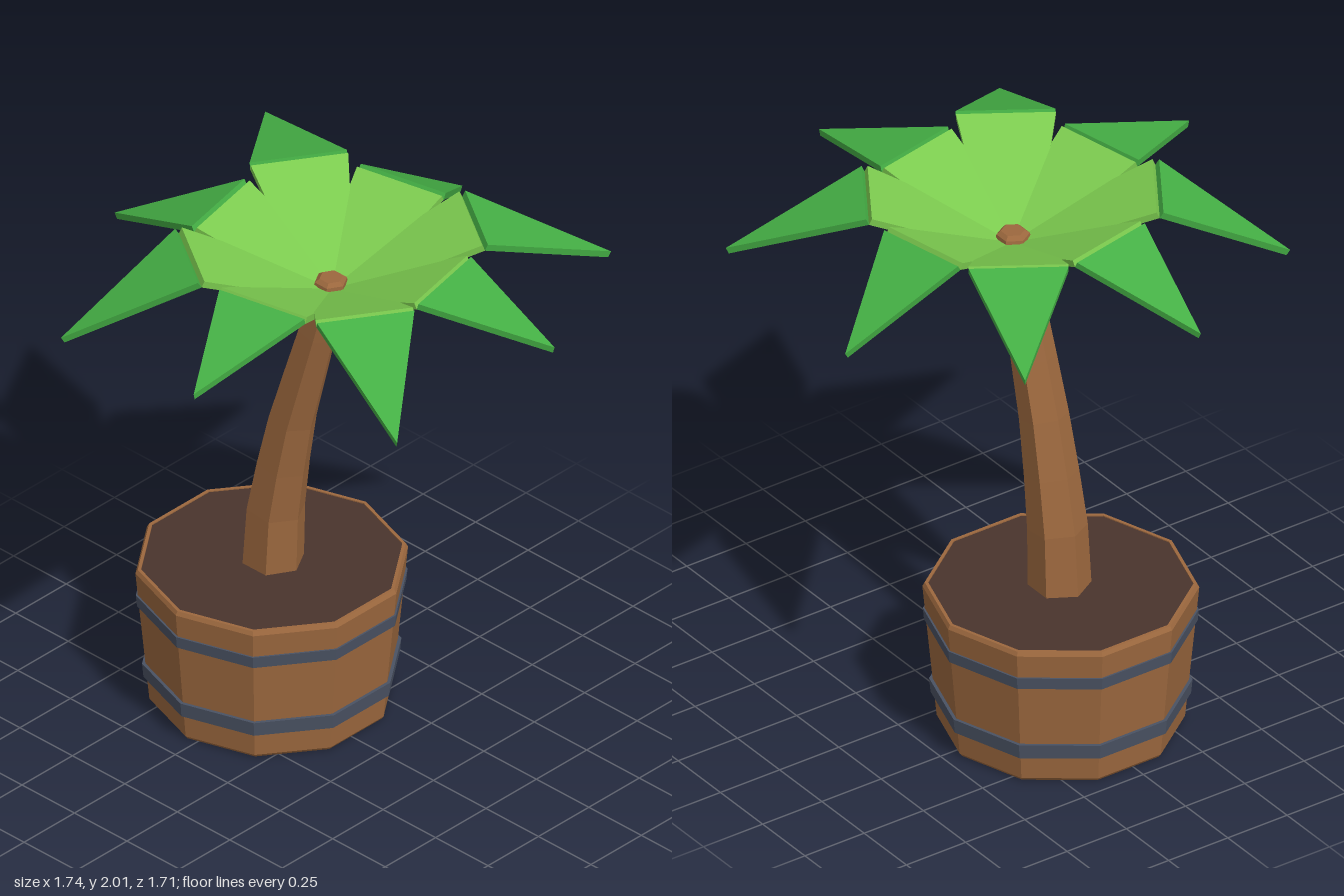
import * as THREE from 'three';

const material = (name, color) => {
  const m = new THREE.MeshStandardMaterial({ color });
  m.name = name;
  return m;
};

// Split the faces so every facet gets its own flat normal
const faceted = (geometry) => {
  const g = geometry.index ? geometry.toNonIndexed() : geometry;
  g.computeVertexNormals();
  return g;
};

const lathe = (points) =>
  faceted(new THREE.LatheGeometry(points.map(([x, y]) => new THREE.Vector2(x, y)), 10));

// Flat slab: outline in (outward, across), thickness upwards, tilted and set on its hinge
const THICK = 0.025;
function slab(outline, tilt, r, y, angle) {
  const shape = new THREE.Shape(outline.map(([x, z]) => new THREE.Vector2(x, z)));
  const g = new THREE.ExtrudeGeometry(shape, { depth: THICK, bevelEnabled: false });
  g.rotateX(-Math.PI / 2).rotateZ(tilt).translate(r, y, 0).rotateY(-angle);
  return g;
}

// Bent trunk: each ring of a six-sided cylinder is moved to a station [x, y, radius]
function trunkGeometry() {
  const stations = [
    [-0.285, 0.5, 0.111], [-0.27, 0.77, 0.105], [-0.235, 0.97, 0.096], [-0.19, 1.18, 0.087],
    [-0.13, 1.385, 0.08], [-0.07, 1.59, 0.072], [-0.01, 1.8, 0.062], [-0.008, 1.825, 0.058],
    [-0.006, 1.838, 0.042],
  ];
  const rows = stations.length - 1;
  const g = new THREE.CylinderGeometry(1, 1, 1, 6, rows, false, Math.PI / 2);
  const p = g.attributes.position;
  for (let i = 0; i < p.count; i++) {
    const k = Math.round((p.getY(i) + 0.5) * rows);
    const [x, y, r] = stations[k];
    const a = stations[Math.max(k - 1, 0)];
    const b = stations[Math.min(k + 1, rows)];
    // Rings follow the bend, the bud on top stays level
    const lean = k > 5 ? 0 : Math.atan2(b[0] - a[0], b[1] - a[1]);
    const u = p.getX(i) * r;
    p.setXYZ(i, x + u * Math.cos(lean), y - u * Math.sin(lean), p.getZ(i) * r);
  }
  return faceted(g);
}

export function createModel() {
  const wood = material('wood', 0x9c683e);
  const soil = material('soil', 0x4a342d);
  const iron = material('iron', 0x4a5263);
  const lightLeaf = material('light leaf', 0x7ccb4f);
  const leaf = material('leaf', 0x45b045);

  const model = new THREE.Group();
  model.name = 'pottedPalm';
  const add = (parent, name, geometry, mat) => {
    const mesh = new THREE.Mesh(geometry, mat);
    mesh.name = name;
    parent.add(mesh);
    return mesh;
  };

  // Tub with a thin rim, soil and two hoops
  const tub = new THREE.Group();
  tub.name = 'tub';
  tub.position.set(-0.29, 0, -0.02);
  model.add(tub);
  add(tub, 'barrel', lathe([[0, 0], [0.418, 0], [0.427, 0.012], [0.476, 0.535],
    [0.468, 0.55], [0.456, 0.55], [0.456, 0.53]]), wood);
  add(tub, 'soil', lathe([[0.457, 0.53], [0.457, 0.546], [0, 0.546]]), soil);
  const wall = (y) => 0.427 + (y - 0.012) * 0.0937;
  for (const [name, y0, y1, out] of [['lowerHoop', 0.105, 0.16, 0.012], ['upperHoop', 0.4, 0.445, 0.007]]) {
    add(tub, name, lathe([[wall(y0) - 0.02, y0], [wall(y0) + out, y0],
      [wall(y1) + out, y1], [wall(y1) - 0.02, y1]]), iron);
  }

  // Trunk with its bud
  add(model, 'trunk', trunkGeometry(), wood).position.z = -0.02;

  // Crown of eight fronds: a rising inner leaf and a drooping pointed tip
  const crown = new THREE.Group();
  crown.name = 'crown';
  crown.position.set(-0.005, 0, -0.022);
  model.add(crown);
  const tipHeights = [1.84, 1.77, 1.84, 1.71, 1.77, 1.84, 1.71, 1.77];
  const rise = 0.44;
  const startR = 0.03;
  const startY = 1.775;
  tipHeights.forEach((tipY, k) => {
    const angle = THREE.MathUtils.degToRad(-12 + 45 * k);
    const foldR = k % 2 ? 0.5 : 0.45;
    const length = k % 2 ? 0.52 : 0.46;
    const foldY = startY + rise * (foldR - startR);
    const inner = Math.hypot(foldR - startR, foldY - startY);
    const frond = new THREE.Group();
    frond.name = 'frond' + (k + 1);
    crown.add(frond);
    add(frond, 'innerLeaf', slab([[0, -0.085], [inner, -0.172], [inner, 0.172], [0, 0.085]],
      Math.atan(rise), startR, startY, angle), lightLeaf);
    add(frond, 'leafTip', slab([[0, -0.172], [length, 0], [0, 0.172]],
      -Math.asin((foldY - tipY) / length), foldR, foldY, angle), leaf);
  });

  return model;
}
